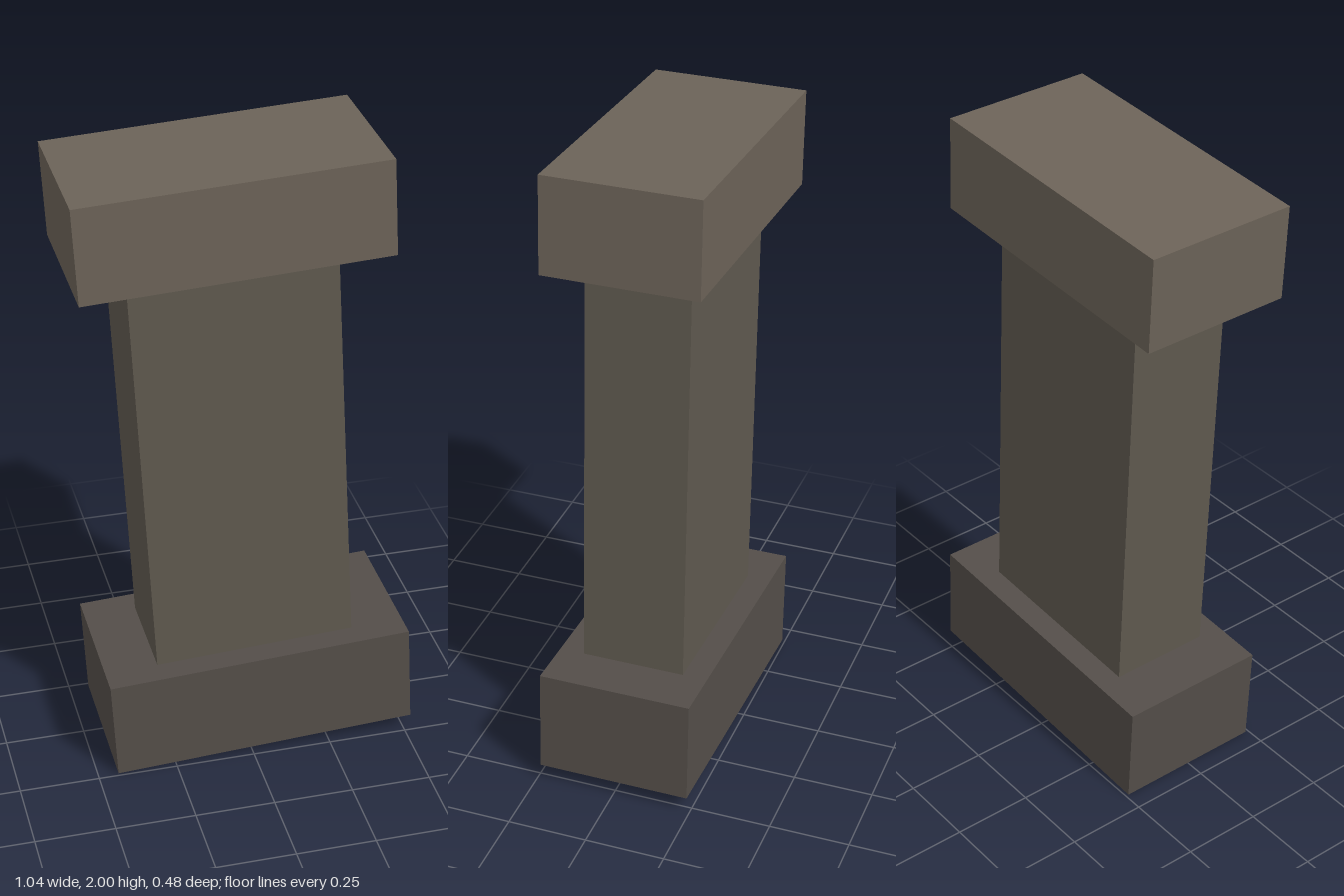
import * as THREE from 'three';

// name, width, height, depth, colour - stacked from the bottom up
const BLOCKS = [
  ['base', 0.958, 0.328, 0.48, 0x544e49],
  ['shaft', 0.628, 1.325, 0.324, 0x5f594f],
  ['cap', 0.93, 0.3, 0.48, 0x6c6358],
];

export function createModel() {
  const model = new THREE.Group();
  model.name = 'leaningPillar';

  // The whole stack leans a few degrees toward -x, resting on one base edge
  const stack = new THREE.Group();
  stack.name = 'pillarStack';
  stack.rotation.z = THREE.MathUtils.degToRad(3);
  stack.position.set(0.042, 0.025, 0);
  model.add(stack);

  let y = 0;
  for (const [name, width, height, depth, color] of BLOCKS) {
    const block = new THREE.Mesh(
      new THREE.BoxGeometry(width, height, depth),
      new THREE.MeshStandardMaterial({ color })
    );
    block.name = name;
    block.position.y = y + height / 2;
    stack.add(block);
    y += height;
  }

  return model;
}
